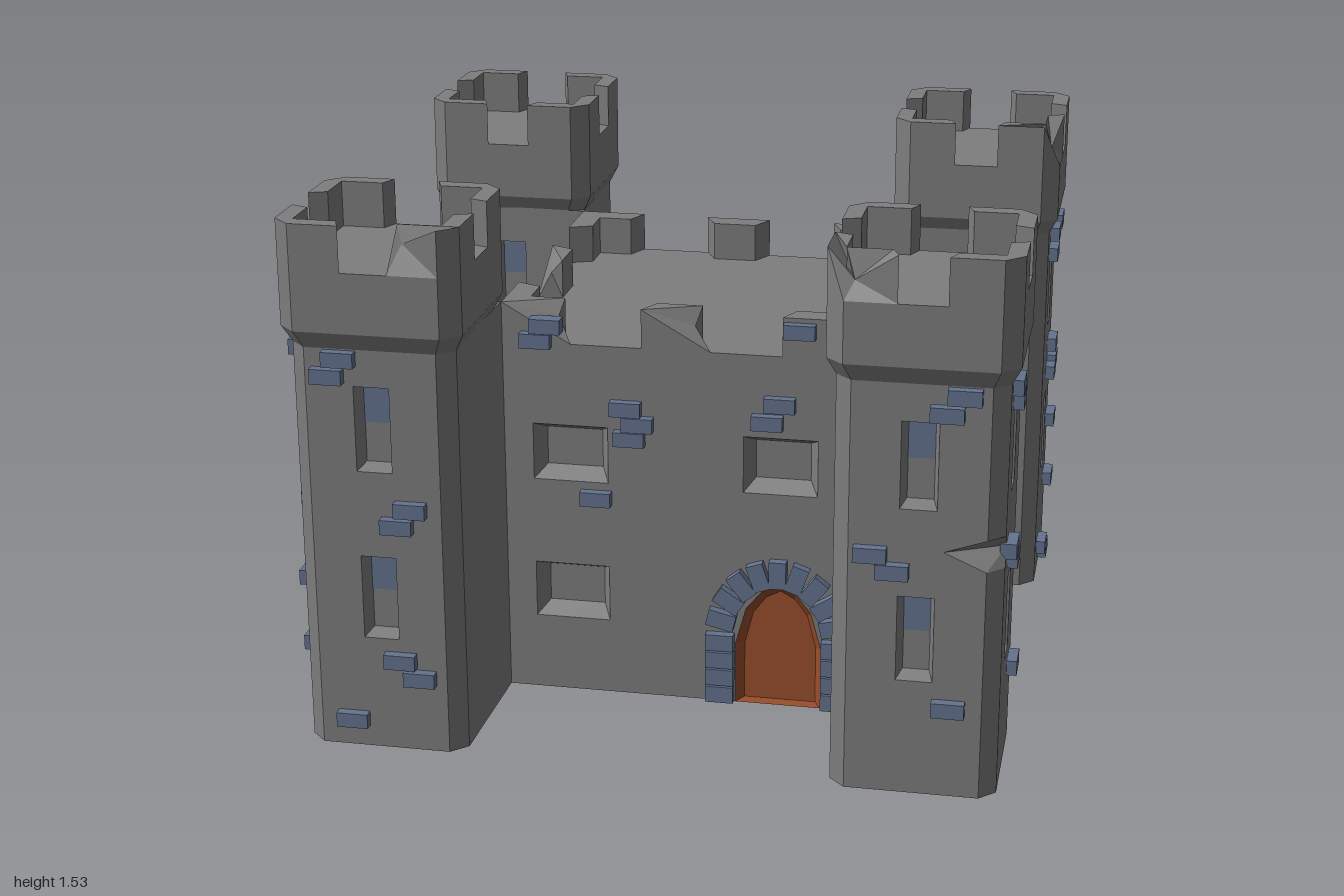
import * as THREE from 'three';
import { mergeGeometries } from 'three/addons/utils/BufferGeometryUtils.js';

const material = (name, color) =>
  Object.assign(new THREE.MeshStandardMaterial({ color, side: THREE.DoubleSide }), { name });
const V2 = (x, y) => new THREE.Vector2(x, y);

const rect = (x0, x1, y0, y1) => [V2(x0, y0), V2(x1, y0), V2(x1, y1), V2(x0, y1)];

// Flat-shaded geometry from four-cornered faces
function quads(list) {
  const p = [];
  for (const [a, b, c, d] of list) p.push(...a, ...b, ...c, ...a, ...c, ...d);
  const g = new THREE.BufferGeometry();
  g.setAttribute('position', new THREE.Float32BufferAttribute(p, 3));
  g.computeVertexNormals();
  return g;
}

function join(parts) {
  const plain = parts.map((g) => {
    const n = g.index ? g.toNonIndexed() : g;
    n.deleteAttribute('uv');
    return n;
  });
  return mergeGeometries(plain);
}

// Recess running from an outer outline back to a smaller inner one
function niche(outer, inner, depth) {
  const sides = outer.map((a, i) => {
    const j = (i + 1) % outer.length, b = outer[j], c = inner[j], d = inner[i];
    return [[a.x, a.y, 0], [b.x, b.y, 0], [c.x, c.y, -depth], [d.x, d.y, -depth]];
  });
  const back = new THREE.ShapeGeometry(new THREE.Shape(inner)).translate(0, 0, -depth);
  return join([quads(sides), back]);
}

// Square ring with cut corners, running left to right as seen from outside
function octagon(r, c, y) {
  const e = r - c;
  return [[-e, r], [e, r], [r, e], [r, -e], [e, -r], [-e, -r], [-r, -e], [-r, e]].map(([x, z]) => [x, y, z]);
}

// Upright prism from a plan outline
function block(points, y, height) {
  const shape = new THREE.Shape(points.map(([x, z]) => V2(x, -z)));
  return new THREE.ExtrudeGeometry(shape, { depth: height, bevelEnabled: false })
    .rotateX(-Math.PI / 2).translate(0, y, 0);
}

// Break a corner off by pulling its vertices inward
function chip(geometry, from, to) {
  const p = geometry.attributes.position, a = new THREE.Vector3(...from), v = new THREE.Vector3();
  for (let i = 0; i < p.count; i++)
    if (v.fromBufferAttribute(p, i).distanceTo(a) < 0.012) p.setXYZ(i, ...to);
}

export function createModel() {
  const stone = material('stone', 0x7e7e7e);
  const brick = material('blueBrick', 0x64738f);
  const wood = material('doorWood', 0x994e2d);
  const castle = new THREE.Group();
  castle.name = 'castle';

  const add = (parent, name, geometry, mat) => {
    const m = new THREE.Mesh(geometry, mat);
    m.name = name;
    parent.add(m);
    return m;
  };

  // Wall between two plan points; its local frame is u right, y up, z outward
  function wall(parent, name, [x0, z0], [x1, z1], outline, windows = [], bricks = []) {
    const t = new THREE.Vector3(x1 - x0, 0, z1 - z0).normalize();
    const n = new THREE.Vector3(-t.z, 0, t.x);
    const g = new THREE.Group();
    g.name = name;
    g.applyMatrix4(new THREE.Matrix4().makeBasis(t, new THREE.Vector3(0, 1, 0), n)
      .setPosition(n.clone().multiplyScalar(x0 * n.x + z0 * n.z)));
    parent.add(g);
    const shape = new THREE.Shape(outline(x0 * t.x + z0 * t.z, x1 * t.x + z1 * t.z));
    shape.holes = windows.map((w) => new THREE.Path(rect(...w.box).reverse()));
    const parts = [new THREE.ShapeGeometry(shape)];
    for (const { box: [a, b, c, d], inset: i, depth } of windows)
      parts.push(niche(rect(a, b, c, d), rect(a + i, b - i, c + i, d - i), depth));
    add(g, name + 'Face', join(parts), stone);
    if (bricks.length)
      add(g, 'bricks', join(bricks.map(([u, y]) =>
        new THREE.BoxGeometry(0.09, 0.043, 0.045).translate(u, y, 0.006))), brick);
    return g;
  }
  const plain = (y0, y1) => (a, b) => rect(a, b, y0, y1);

  // ---- Keep ----
  const K = 0.505, keepTop = 1.075;
  const keep = new THREE.Group();
  keep.name = 'keep';
  castle.add(keep);

  const doorOuter = [[0.175, 0], [0.175, 0.19], [0.205, 0.3], [0.25, 0.355], [0.3, 0.38],
    [0.35, 0.355], [0.395, 0.3], [0.425, 0.19], [0.425, 0]].map((p) => V2(...p));
  const doorInner = doorOuter.map((p) => V2(0.3 + (p.x - 0.3) * 0.84, p.y * 0.91));
  const frontOutline = (a, b) => [V2(a, 0), ...doorOuter, V2(b, 0), V2(b, keepTop), V2(a, keepTop)];
  const keepWindow = (a, b, c, d, inset = 0.028) => ({ box: [a, b, c, d], inset, depth: 0.06 });
  const sideWindows = [keepWindow(-0.425, -0.195, 0.685, 0.83, 0.015), keepWindow(0.19, 0.42, 0.685, 0.83, 0.015)];
  const sideBricks = [[-0.12, 0.985], [-0.08, 0.935], [-0.1, 0.89], [0.275, 0.975], [0.25, 0.925],
    [-0.35, 0.57], [0.31, 0.585], [0.275, 0.535]];

  const front = wall(keep, 'frontWall', [-K, K], [K, K], frontOutline,
    [keepWindow(-0.42, -0.2, 0.66, 0.83), keepWindow(0.195, 0.41, 0.66, 0.83), keepWindow(-0.42, -0.2, 0.23, 0.4)],
    [[-0.375, 1.13], [-0.405, 1.085], [0.355, 1.155], [-0.145, 0.895], [-0.11, 0.85], [-0.135, 0.805],
      [0.3, 0.935], [0.265, 0.88], [-0.235, 0.615]]);
  wall(keep, 'rightWall', [K, K], [K, -K], plain(0, keepTop), sideWindows, sideBricks);
  wall(keep, 'backWall', [K, -K], [-K, -K], plain(0, keepTop));
  wall(keep, 'leftWall', [-K, -K], [-K, K], plain(0, keepTop), sideWindows, sideBricks);
  add(keep, 'roof', new THREE.PlaneGeometry(2 * K, 2 * K).rotateX(-Math.PI / 2).translate(0, keepTop, 0), stone);

  // Door recess and its brick arch
  add(front, 'door', niche(doorOuter, doorInner, 0.04), wood);
  const arch = [];
  const archBrick = (x, y, turn) =>
    arch.push(new THREE.BoxGeometry(0.082, 0.05, 0.045).rotateZ(turn).translate(x, y, 0.006));
  for (const s of [-1, 1])
    for (let i = 0; i < 4; i++) archBrick(0.3 + s * 0.17, 0.03 + i * 0.055, 0);
  for (let i = 0; i < 9; i++) {
    const a = Math.PI * (0.075 + 0.85 * i / 8);
    archBrick(0.3 + 0.17 * Math.cos(a), 0.22 + 0.2 * Math.sin(a), a);
  }
  add(front, 'doorArch', join(arch), brick);

  // Keep battlements
  const keepMerlons = [];
  const I = K - 0.07;
  for (let k = 0; k < 4; k++) {
    const corner = [[0.305, K], [K, K], [K, 0.305], [I, 0.335], [I, I], [0.335, I]];
    const middle = [[-0.1, K], [0.1, K], [0.065, I], [-0.065, I]];
    for (const m of [corner, middle]) keepMerlons.push(block(m, keepTop, 0.115).rotateY(k * Math.PI / 2));
  }
  const keepBattlements = join(keepMerlons);
  chip(keepBattlements, [-0.305, 1.19, K], [-0.345, 1.15, 0.47]);
  chip(keepBattlements, [0.1, 1.19, K], [0.05, 1.14, 0.47]);
  chip(keepBattlements, [K, 1.19, -0.1], [0.47, 1.14, -0.05]);
  chip(keepBattlements, [-K, 1.19, 0.1], [-0.47, 1.15, 0.06]);
  keepBattlements.computeVertexNormals();
  add(keep, 'keepBattlements', keepBattlements, stone);

  // ---- Corner towers: local outer corner points to +x +z ----
  const R = 0.23, E = 0.185, C = 0.745, top = 1.19;
  const notch = { low: 0.665, mid: 0.715, high: 0.755, tip: 0.07 };
  const towerWindows = [0.335, 0.83].map((y) => ({ box: [-0.05, 0.05, y, y + 0.245], inset: 0.014, depth: 0.05 }));
  const evenBricks = [[[0.115, 1.155], [0.07, 1.105], [-0.125, 0.7], [-0.065, 0.655], [0.095, 0.265]],
    [[-0.1, 1.155], [-0.065, 1.105], [-0.125, 0.705], [-0.065, 0.655], [0.095, 0.265]]];
  const oddBricks = [[[-0.055, 1.15], [-0.115, 1.1], [0.105, 1.15], [0.035, 0.755], [0.065, 0.69], [0.005, 0.67],
    [0.115, 0.47], [0.105, 0.265], [-0.085, 0.095], [-0.005, 0.05]],
  [[-0.085, 1.155], [-0.12, 1.105], [0.1, 0.73], [0.06, 0.68], [0.055, 0.275], [0.11, 0.225], [-0.09, 0.085]]];
  const plan = [[-E, R], [E, R], [R, E], [R, -E], [E, -R], [-0.24, -0.24], [-R, E]];

  ['frontLeftTower', 'backLeftTower', 'backRightTower', 'frontRightTower'].forEach((name, k) => {
    const tower = new THREE.Group();
    tower.name = name;
    tower.rotation.y = k * Math.PI / 2;
    tower.position.set(k < 2 ? C : -C, 0, k % 3 === 0 ? C : -C);
    castle.add(tower);
    const bricks = k % 2 ? oddBricks : evenBricks;
    const broken = k < 2;

    // Shaft walls, with a gash across the outer corner of two towers
    plan.forEach((p, i) => {
      const q = plan[(i + 1) % plan.length];
      const windowed = i === 0 || i === 2 || (i === 4 && k % 2 === 0);
      let outline = plain(0, top);
      if (broken && i === 0) outline = (a, b) => [V2(a, 0), V2(b, 0), V2(b, notch.low),
        V2(notch.tip, notch.mid), V2(b, notch.high), V2(b, top), V2(a, top)];
      if (broken && i === 2) outline = (a, b) => [V2(a, 0), V2(b, 0), V2(b, top), V2(a, top),
        V2(a, notch.high), V2(a + 0.04, notch.mid), V2(a, notch.low)];
      if (broken && i === 1) {
        wall(tower, 'upperCorner', p, q, plain(notch.high, top));
        outline = plain(0, notch.low);
      }
      const face = wall(tower, 'shaftWall', p, q, outline, windowed ? towerWindows : [],
        i === 0 ? bricks[0] : i === 2 ? bricks[1] : []);
      // Blue half panes at the back of the recesses
      if (windowed) towerWindows.forEach(({ box }, j) => {
        const lower = k % 2 === 0 && i === 2;
        if (lower && j === 0) return;
        add(face, 'windowPane', new THREE.PlaneGeometry(0.072, 0.1)
          .translate(0, box[2] + (lower ? 0.066 : 0.179), -0.047), brick);
      });
    });
    if (broken) {
      const t1 = [notch.tip, notch.mid, R], t2 = [R, notch.mid, E - 0.04];
      add(tower, 'cornerGash', quads([
        [[E, notch.low, R], [R, notch.low, E], t2, t1],
        [t1, t2, [R, notch.high, E], [E, notch.high, R]]]), stone);
    }

    // Flared head with its floor
    const rings = [octagon(R, 0.045, 1.18), octagon(0.255, 0.05, 1.23), octagon(0.255, 0.05, 1.4)];
    const faces = [];
    for (let r = 0; r < 2; r++)
      for (let i = 0; i < 8; i++) {
        const j = (i + 1) % 8;
        faces.push([rings[r][i], rings[r][j], rings[r + 1][j], rings[r + 1][i]]);
      }
    const floor = new THREE.ShapeGeometry(new THREE.Shape(rings[2].map(([x, , z]) => V2(x, -z))))
      .rotateX(-Math.PI / 2).translate(0, 1.4, 0);
    add(tower, 'towerHead', join([quads(faces), floor]), stone);

    // Corner battlements, some of them chipped
    const corner = [[0.065, 0.255], [0.205, 0.255], [0.255, 0.205], [0.255, 0.065],
      [0.205, 0.085], [0.205, 0.205], [0.085, 0.205]];
    const battlements = join([0, 1, 2, 3].map((m) => block(corner, 1.4, 0.13).rotateY(m * Math.PI / 2)));
    if (k < 2) chip(battlements, [-0.205, 1.53, 0.255], [-0.18, 1.45, 0.225]);
    if (k === 3) chip(battlements, [0.255, 1.53, -0.065], [0.22, 1.48, -0.1]);
    battlements.computeVertexNormals();
    add(tower, 'towerBattlements', battlements, stone);
  });

  return castle;
}
